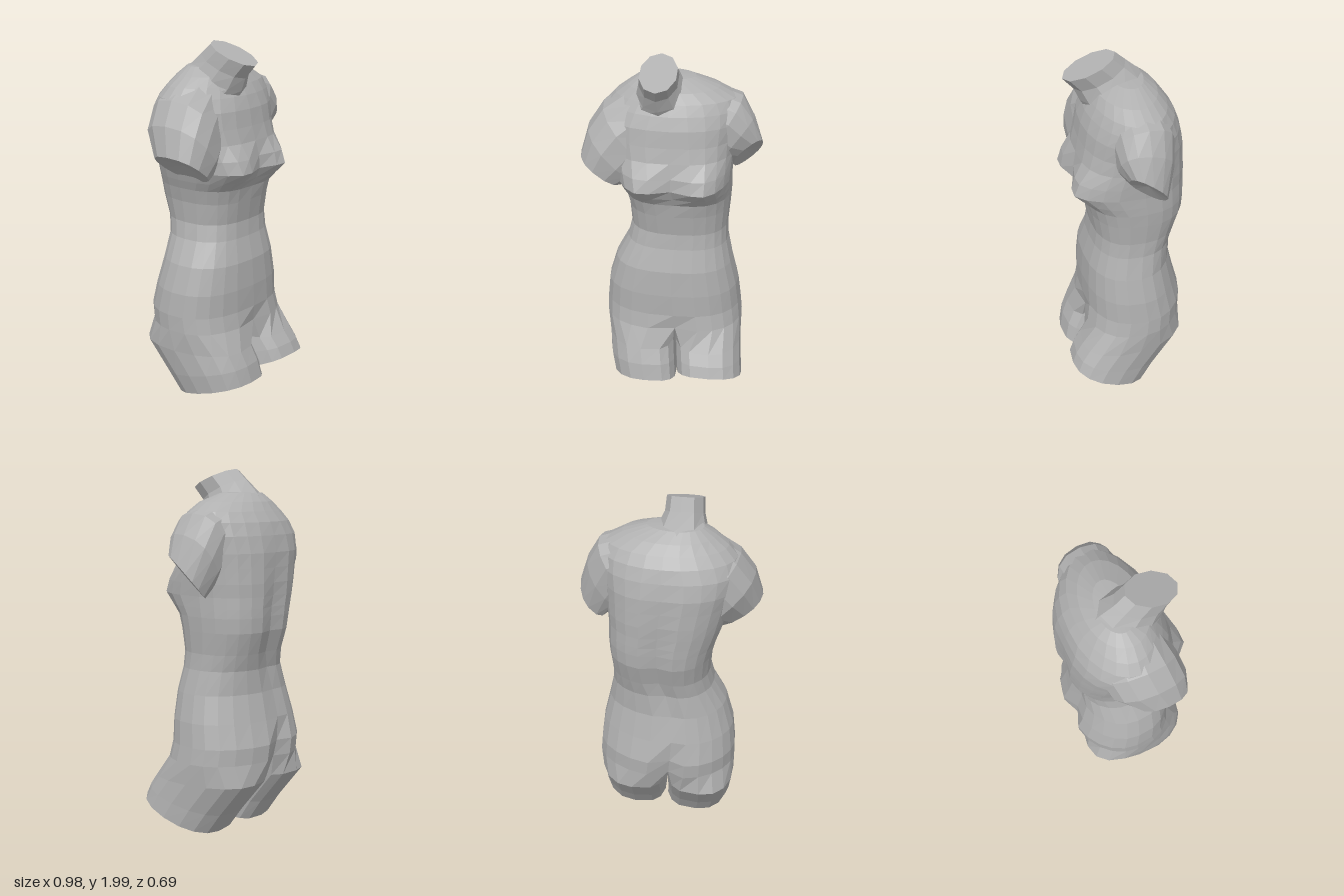
import * as THREE from 'three';

const V = (x, y, z) => new THREE.Vector3(x, y, z);
const spow = (v, p) => Math.sign(v) * Math.pow(Math.abs(v), p);
const gauss = (d, w) => Math.exp(-(d * d) / (w * w));

// Skin a list of closed rings; optionally close the last ring with a fan to a point
function loft(rings, capPoint) {
  const n = rings[0].length, pos = [], idx = [];
  rings.forEach(r => r.forEach(p => pos.push(p.x, p.y, p.z)));
  for (let i = 0; i < rings.length - 1; i++) {
    for (let j = 0; j < n; j++) {
      const k = (j + 1) % n, a = i * n + j, b = i * n + k;
      idx.push(a, b, b + n, a, b + n, a + n);
    }
  }
  if (capPoint) {
    const base = (rings.length - 1) * n, c = pos.length / 3;
    pos.push(capPoint.x, capPoint.y, capPoint.z);
    for (let j = 0; j < n; j++) idx.push(base + j, base + (j + 1) % n, c);
  }
  const g = new THREE.BufferGeometry();
  g.setAttribute('position', new THREE.Float32BufferAttribute(pos, 3));
  g.setIndex(idx);
  g.computeVertexNormals();
  return g;
}

const centre = ring => ring.reduce((s, p) => s.add(p), V(0, 0, 0)).divideScalar(ring.length);

// y, xMin, xMax, zFront, zBack, then x middle and squareness for the front half
const BODY = [
  [0.43, -0.38, 0.405, 0.24, -0.345, 0.04, 0.75],
  [0.52, -0.38, 0.395, 0.225, -0.35, 0.03, 0.78],
  [0.65, -0.365, 0.38, 0.225, -0.315, 0.02, 0.78],
  [0.80, -0.32, 0.345, 0.215, -0.28, 0.02, 0.78],
  [0.93, -0.25, 0.315, 0.18, -0.275, 0.03, 0.75],
  [1.02, -0.23, 0.31, 0.17, -0.295, 0.04, 0.75],
  [1.14, -0.24, 0.32, 0.19, -0.33, 0.03, 0.75],
  [1.22, -0.26, 0.325, 0.2, -0.335, 0.03, 0.75],
  [1.27, -0.28, 0.325, 0.215, -0.335, 0.03, 0.75],
  [1.33, -0.30, 0.325, 0.23, -0.335, 0.02, 0.78],
  [1.40, -0.32, 0.33, 0.235, -0.335, 0.02, 0.78],
  [1.48, -0.34, 0.335, 0.235, -0.33, 0.01, 0.8],
  [1.56, -0.36, 0.34, 0.22, -0.325, 0, 0.82],
  [1.65, -0.38, 0.36, 0.205, -0.305, 0, 0.9],
  [1.72, -0.36, 0.37, 0.18, -0.28, 0, 1],
  [1.775, -0.31, 0.34, 0.15, -0.24, 0, 1],
  [1.825, -0.245, 0.25, 0.12, -0.2, -0.02, 1],
  [1.87, -0.18, 0.12, 0.04, -0.14, -0.05, 1],
];
const SIDES = 24;

function bodyRing([y, x0, x1, zf, zb, xFront, pFront]) {
  // the back is rounder than the front and turned towards the right hip
  const hip = THREE.MathUtils.smoothstep(1.15 - y, 0, 0.4);
  const xBack = xFront - 0.07 * hip, pBack = Math.max(pFront, 0.84 + 0.14 * hip);
  return Array.from({ length: SIDES }, (_, i) => {
    const t = i / SIDES * Math.PI * 2, s = Math.sin(t), c = Math.cos(t);
    const p = c > 0 ? pFront : pBack;
    const xm = xBack + (xFront - xBack) * (1 + c) / 2;
    const x = xm + spow(s, p) * (s > 0 ? x1 - xm : xm - x0);
    let z = (zf + zb) / 2 + spow(c, p) * (zf - zb) / 2;
    if (c > 0.1) {
      // bust and the fold above the thighs
      z += 0.1 * gauss(y - 1.345, 0.085) * (gauss(x + 0.16, 0.13) + gauss(x - 0.2, 0.13));
      z -= 0.03 * gauss(y - 0.42, 0.06) * gauss(x - xm, 0.05);
    } else if (c < -0.1) {
      // spine groove and cleft
      z += (0.03 * gauss(y - 1.1, 0.4) + 0.06 * gauss(y - 0.45, 0.14)) * gauss(x - xm, 0.06);
    }
    return V(x, y, z);
  });
}

// Leg cross-sections, cut end first: y at z = 0, xMin, xMax, zFront, zBack, tilt
const LEFT_LEG = [
  [0.05, 0.04, 0.425, 0.35, -0.09, 0.4],
  [0.17, 0.03, 0.415, 0.325, -0.17, 0.25],
  [0.31, 0.015, 0.405, 0.285, -0.315, 0],
];
const RIGHT_LEG = [
  [0.04, -0.33, 0.04, 0.33, -0.1, 0.28],
  [0.16, -0.355, 0.03, 0.31, -0.17, 0.22],
  [0.31, -0.375, 0.015, 0.275, -0.315, 0],
];

// Each leg ends on one half of the lowest body ring, closed by three crotch points
function legGeometry(sections, hip, side) {
  const start = side > 0 ? -Math.PI / 4 : Math.PI * 0.75;
  const rings = sections.map(([y, x0, x1, zf, zb, tilt]) =>
    Array.from({ length: 16 }, (_, i) => {
      const t = start + i * Math.PI / 8;
      // square towards the other leg, round on the outside
      const p = Math.sin(t) * side < 0 ? 0.6 : 0.9;
      const dz = spow(Math.cos(t), p) * (zf - zb) / 2, z = (zf + zb) / 2 + dz;
      const x = (x0 + x1) / 2 + spow(Math.sin(t), p) * (x1 - x0) / 2 + 0.1 * dz;
      return V(x, y + tilt * z, z);
    }));
  const half = SIDES / 2, from = side > 0 ? 0 : half, top = [];
  for (let i = 0; i <= half; i++) top.push(hip[(from + i) % SIDES].clone());
  const a = top[half], b = top[0];
  for (let i = 1; i <= 3; i++) top.push(a.clone().lerp(b, i / 4));
  return loft([...rings, top]);
}

// Arm stump sections: outer x, y, inner x, y, zFront, zBack, lift of the front edge
const LEFT_ARM = [
  [0.24, 1.815, 0.1, 1.5, 0.1, -0.2, 0],
  [0.37, 1.77, 0.19, 1.47, 0.11, -0.21, 0],
  [0.435, 1.66, 0.26, 1.41, 0.1, -0.19, 0.03],
  [0.485, 1.51, 0.33, 1.37, 0.06, -0.14, 0.08],
];
const RIGHT_ARM = [
  [-0.24, 1.81, -0.02, 1.45, 0.15, -0.21, 0],
  [-0.37, 1.72, -0.1, 1.38, 0.19, -0.23, 0],
  [-0.45, 1.6, -0.18, 1.31, 0.21, -0.2, 0],
  [-0.49, 1.45, -0.26, 1.28, 0.2, -0.1, 0],
];

function armGeometry(sections, side) {
  const rings = sections.map(([ox, oy, ix, iy, zf, zb, lift]) =>
    Array.from({ length: 14 }, (_, i) => {
      const t = i / 14 * Math.PI * 2, k = (1 + spow(Math.cos(t), 0.85)) / 2;
      const s = side * spow(Math.sin(t), 0.85);
      return V(ix + (ox - ix) * k, iy + (oy - iy) * k + lift * s, (zf + zb) / 2 + s * (zf - zb) / 2);
    }));
  return loft(rings, centre(rings[3]).add(V(-0.01 * side, 0.02, 0)));
}

// Neck sections: x middle, half width, front z, y, back z, y
const NECK = [
  [-0.05, 0.19, 0.16, 1.7, -0.21, 1.8],
  [-0.055, 0.135, 0.19, 1.75, -0.13, 1.885],
  [-0.06, 0.105, 0.22, 1.82, -0.06, 1.945],
  [-0.055, 0.1, 0.28, 1.89, 0, 2.0],
];

function neckGeometry() {
  const rings = NECK.map(([cx, hw, fz, fy, bz, by]) =>
    Array.from({ length: 10 }, (_, i) => {
      const t = i / 10 * Math.PI * 2, k = (1 + Math.cos(t)) / 2;
      return V(cx + hw * Math.sin(t), by + (fy - by) * k, bz + (fz - bz) * k);
    }));
  return loft(rings, centre(rings[3]));
}

export function createModel() {
  const stone = new THREE.MeshStandardMaterial({ color: 0xb0b0b0, flatShading: true, side: THREE.DoubleSide });
  stone.name = 'grey stone';
  const group = new THREE.Group();
  group.name = 'torsoStatue';
  const add = (name, geometry) => {
    const mesh = new THREE.Mesh(geometry, stone);
    mesh.name = name;
    group.add(mesh);
  };

  const rings = BODY.map(bodyRing);
  add('torso', loft(rings, V(-0.05, 1.88, -0.04)));
  add('leftLeg', legGeometry(LEFT_LEG, rings[0], 1));
  add('rightLeg', legGeometry(RIGHT_LEG, rings[0], -1));
  add('leftArm', armGeometry(LEFT_ARM, 1));
  add('rightArm', armGeometry(RIGHT_ARM, -1));
  add('neck', neckGeometry());
  return group;
}
